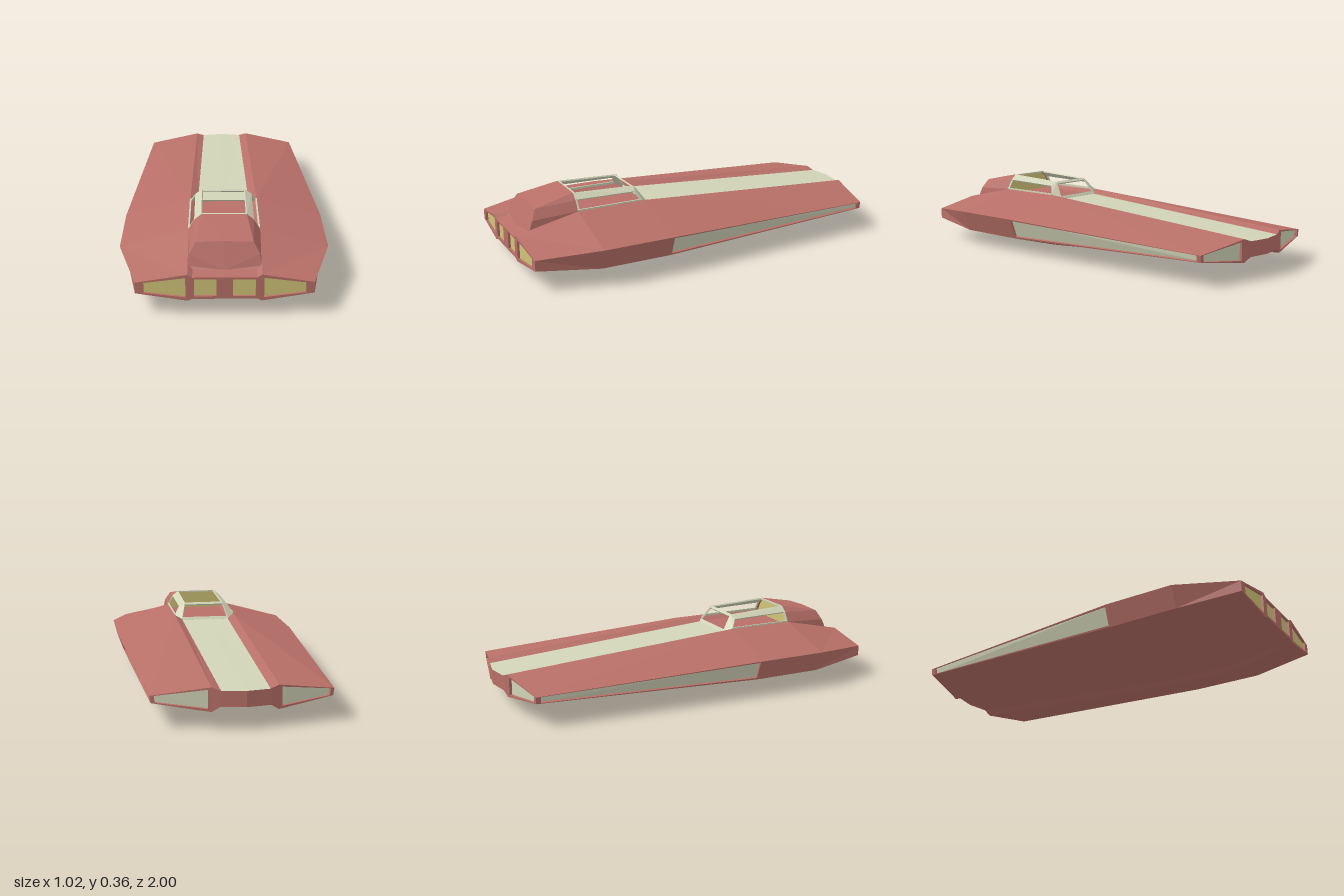
import * as THREE from 'three';

const RED = 0xb87068, LIGHT = 0xd2d4b8, YELLOW = 0xd0c478;

export function createModel() {
  const model = new THREE.Group();
  const parts = {};

  // Adds a polygon (counter-clockwise from outside) and its mirror image to a part
  function face(name, color, ...pts) {
    const part = parts[name] ??= { color, pos: [] };
    for (let i = 1; i < pts.length - 1; i++) {
      const tri = [pts[0], pts[i], pts[i + 1]];
      for (const p of tri) part.pos.push(...p);
      for (const p of tri.reverse()) part.pos.push(-p[0], p[1], p[2]);
    }
  }

  const lerp = (a, b, t) => a.map((v, i) => v + (b[i] - v) * t);

  // Moves a quad inward along its normal
  function sink(q, depth) {
    const v = q.map(p => new THREE.Vector3(...p));
    const n = v[2].clone().sub(v[0]).cross(v[3].clone().sub(v[1])).normalize();
    return v.map(p => p.addScaledVector(n, -depth).toArray());
  }

  // Quad face with a recessed panel; u runs from edge ab to edge dc, v from a to b
  function insetFace(q, panelName, panelColor, u0, u1, v0, v1, depth) {
    const [a, b, c, d] = q;
    const at = (u, v) => lerp(lerp(a, d, u), lerp(b, c, u), v);
    const rim = [at(u0, v0), at(u0, v1), at(u1, v1), at(u1, v0)];
    const low = sink(rim, depth);
    for (let k = 0; k < 4; k++) {
      const m = (k + 1) % 4;
      face('hull', RED, q[k], q[m], rim[m], rim[k]);
      face('hull', RED, rim[k], rim[m], low[m], low[k]);
    }
    face(panelName, panelColor, ...low);
  }

  // Flat bar with thickness
  function slab(name, color, q, depth) {
    const low = sink(q, depth);
    face(name, color, ...q);
    face(name, color, ...[...low].reverse());
    for (let k = 0; k < 4; k++) {
      const m = (k + 1) % 4;
      face(name, color, q[k], low[k], low[m], q[m]);
    }
  }

  // Hull half-sections from top centre, round the side, to bottom centre
  const sections = [
    [[0, .195, 1], [.15, .195, 1], [.172, .21, 1], [.415, .165, .99],
      [.415, .11, .99], [.172, .075, 1], [.15, .085, 1], [0, .085, 1]],
    [[0, .262, .67], [.145, .262, .67], [.172, .285, .67], [.51, .192, .67],
      [.47, .083, .67], [.172, .003, .67], [.14, .022, .67], [0, .022, .67]],
    [[0, .262, .27], [.133, .262, .27], [.172, .285, .3], [.51, .192, .3],
      [.47, .083, .3], [.172, .003, .3], [.14, .022, .3], [0, .022, .3]],
    [[0, .185, -1], [.115, .185, -.98], [.157, .2, -.97], [.435, .157, -.915],
      [.43, .122, -.915], [.157, .083, -.97], [.12, .108, -.98], [0, .108, -1]],
  ];
  for (let s = 0; s < 3; s++) {
    const f = sections[s], r = sections[s + 1];
    for (let k = 0; k < 7; k++) {
      const q = [f[k], f[k + 1], r[k + 1], r[k]];
      if (s === 2 && k === 3) insetFace(q, 'sidePanels', LIGHT, .008, .98, .06, .92, .012);
      else if (s === 2 && k === 0) face('spineStrip', LIGHT, ...q);
      else face('hull', RED, ...q);
    }
  }

  // Front face with its four lights
  const capQuad = (ring, k) => [ring[k], ring[7 - k], ring[6 - k], ring[k + 1]];
  const [front, , , rear] = sections;
  insetFace(capQuad(front, 0), 'innerLights', YELLOW, .25, .95, .09, .88, .012);
  face('hull', RED, ...capQuad(front, 1));
  insetFace(capQuad(front, 2), 'outerLights', YELLOW, .04, .84, .12, .88, .012);

  // Rear face with its two vents
  face('hull', RED, ...capQuad(rear, 0).reverse());
  face('hull', RED, ...capQuad(rear, 1).reverse());
  insetFace(capQuad(rear, 2).reverse(), 'rearPanels', LIGHT, .06, .94, .08, .9, .015);

  // Cockpit cowl
  const nose = [[0, .325, .885], [.135, .32, .885], [.165, .27, .91],
    [.172, .22, .93], [.145, .205, .945], [0, .205, .945]];
  const hoop = [[0, .365, .67], [.11, .365, .67], [.145, .335, .67],
    [.175, .285, .67], [.175, .255, .67], [0, .255, .67]];
  for (let k = 0; k < 4; k++) face('cowl', RED, nose[k], nose[k + 1], hoop[k + 1], hoop[k]);
  face('cowl', RED, ...[...nose].reverse());

  // Bulkhead closing the cowl behind the nose
  face('cockpitBulkhead', YELLOW, ...hoop.map(([x, y]) => [x * .98, y - .004, .685]));

  // Open canopy frame: roof rails, rear posts, sills and crossbars
  const frame = q => slab('canopyFrame', LIGHT, q, .008);
  frame([[.11, .365, .67], [.145, .337, .67], [.145, .331, .34], [.11, .352, .33]]);
  frame([[.11, .352, .33], [.145, .331, .34], [.173, .285, .31], [.135, .268, .27]]);
  frame([[.175, .292, .67], [.175, .28, .67], [.174, .28, .31], [.174, .292, .31]]);
  frame([[0, .352, .337], [.11, .352, .337], [.112, .342, .324], [0, .342, .324]]);
  frame([[0, .277, .28], [.135, .277, .28], [.133, .262, .268], [0, .262, .268]]);
  for (let k = 0; k < 3; k++) {
    const back = ([x, y, z]) => [x, y, z - .01];
    frame([hoop[k], hoop[k + 1], back(hoop[k + 1]), back(hoop[k])]);
  }

  // One flat-shaded mesh per part
  for (const [name, { color, pos }] of Object.entries(parts)) {
    const geometry = new THREE.BufferGeometry();
    geometry.setAttribute('position', new THREE.Float32BufferAttribute(pos, 3));
    geometry.computeVertexNormals();
    const material = new THREE.MeshStandardMaterial({ color, flatShading: true, side: THREE.DoubleSide });
    const mesh = new THREE.Mesh(geometry, material);
    mesh.name = name;
    model.add(mesh);
  }
  return model;
}
